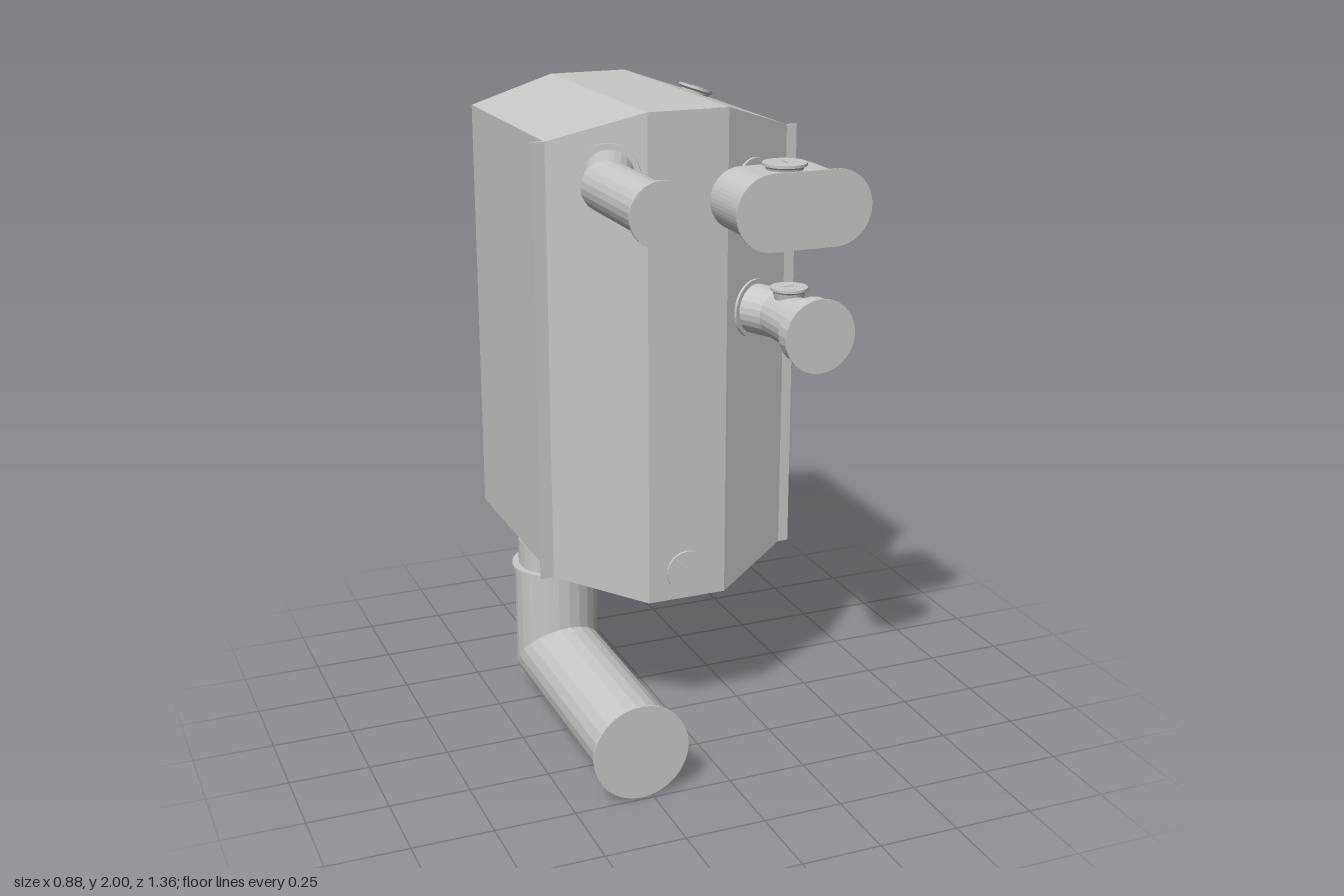
import * as THREE from 'three';

const V = (x, y, z) => new THREE.Vector3(x, y, z);
const SIDES = 24;

export function createModel() {
  const model = new THREE.Group();
  model.name = 'boilerCasing';
  const steel = new THREE.MeshStandardMaterial({ color: 0xc8c8c6, flatShading: true, side: THREE.DoubleSide });
  steel.name = 'grey steel';

  const add = (geometry, name, parent = model) => {
    const mesh = new THREE.Mesh(geometry, steel);
    mesh.name = name;
    parent.add(mesh);
    return mesh;
  };
  const fromTriangles = (points) => {
    const g = new THREE.BufferGeometry().setFromPoints(points);
    g.computeVertexNormals();
    return g;
  };
  const quad = (list, a, b, c, d) => list.push(a, b, c, a, c, d);

  // Tube with mitred joints; the last ring can be cut along a given plane
  function pipe(path, r, name, endNormal) {
    const dirs = path.slice(1).map((p, i) => p.clone().sub(path[i]).normalize());
    const d0 = dirs[0];
    const u = (Math.abs(d0.y) > 0.9 ? V(1, 0, 0) : V(0, 1, 0)).cross(d0).normalize();
    const v = d0.clone().cross(u);
    let ring = [];
    for (let i = 0; i < SIDES; i++) {
      const a = (i / SIDES) * Math.PI * 2;
      ring.push(path[0].clone().addScaledVector(u, r * Math.cos(a)).addScaledVector(v, r * Math.sin(a)));
    }
    const tris = [];
    ring.forEach((p, i) => tris.push(path[0], ring[(i + 1) % SIDES], p));
    dirs.forEach((d, k) => {
      const end = path[k + 1];
      const n = k < dirs.length - 1 ? d.clone().add(dirs[k + 1]) : (endNormal || d);
      const next = ring.map((p) => p.clone().addScaledVector(d, end.clone().sub(p).dot(n) / d.dot(n)));
      for (let i = 0; i < SIDES; i++) {
        const j = (i + 1) % SIDES;
        quad(tris, ring[i], ring[j], next[j], next[i]);
      }
      ring = next;
    });
    const last = path[path.length - 1];
    ring.forEach((p, i) => tris.push(last, p, ring[(i + 1) % SIDES]));
    return add(fromTriangles(tris), name);
  }

  // Places an object so its +y axis points along a direction
  const aim = (obj, pos, dir) => {
    obj.position.copy(pos);
    obj.quaternion.setFromUnitVectors(V(0, 1, 0), dir.clone().normalize());
    return obj;
  };
  const disc = (pos, dir, r, name, h = 0.008) =>
    aim(add(new THREE.CylinderGeometry(r, r, h, 32), name), pos, dir);

  // Small screw cap with a raised slot
  function cap(pos, dir, r, name, turn = 0) {
    const group = new THREE.Group();
    group.name = name;
    const profile = [[r * 0.75, -0.02], [r * 0.85, 0.006], [r, 0.012], [r, 0.02], [0, 0.02]];
    add(new THREE.LatheGeometry(profile.map((p) => new THREE.Vector2(...p)), 24), 'capBody', group);
    const slot = add(new THREE.BoxGeometry(0.03, 0.004, 0.005), 'capSlot', group);
    slot.position.y = 0.021;
    slot.rotation.y = turn;
    model.add(aim(group, pos, dir));
  }

  // Stations across the casing: x, front z, bottom y, top y
  const stations = [
    [-0.4, 0.045, 0.56, 1.915], [-0.13, 0.165, 0.475, 2],
    [0.125, 0.165, 0.475, 2], [0.37, 0.045, 0.56, 1.915],
  ];
  const thick = 0.01;

  // Open-backed shell
  const rim = [
    ...stations.map(([x, z, , top]) => V(x, top, z - thick)),
    ...stations.slice().reverse().map(([x, z, bottom]) => V(x, bottom, z - thick)),
  ];
  const shell = [];
  rim.forEach((p, i) => {
    const q = rim[(i + 1) % rim.length];
    quad(shell, p, q, V(q.x, q.y, -0.68), V(p.x, p.y, -0.68));
  });
  add(fromTriangles(shell), 'casingShell');

  // Folded front plate with side flanges
  const plate = [[-0.44, 0.045, 0.56, 1.915], ...stations, [0.403, 0.045, 0.56, 1.915]];
  const sections = plate.map(([x, z, b, t]) => [V(x, b, z), V(x, t, z), V(x, t, z - thick), V(x, b, z - thick)]);
  const plateTris = [];
  for (let i = 0; i < sections.length - 1; i++) {
    const a = sections[i], b = sections[i + 1];
    for (let k = 0; k < 4; k++) {
      const m = (k + 1) % 4;
      quad(plateTris, a[k], b[k], b[m], a[m]);
    }
  }
  const endL = sections[0], endR = sections[sections.length - 1];
  quad(plateTris, endL[0], endL[1], endL[2], endL[3]);
  quad(plateTris, endR[3], endR[2], endR[1], endR[0]);
  add(fromTriangles(plateTris), 'frontPlate');

  const rightNormal = V(-0.12, 0, 0.27).normalize();
  const leftNormal = V(0.12, 0, 0.245).normalize();

  // Lower elbow pipe, with its neck cut to the sloping floor
  pipe([V(-0.285, 0.47, -0.275), V(-0.285, 0.153, -0.275), V(-0.285, 0.153, 0.487)], 0.134, 'lowerElbow');
  pipe([V(-0.285, 0.46, -0.275), V(-0.285, 0.523, -0.275)], 0.121, 'lowerNeck', V(0.085, 0.27, 0));
  disc(V(-0.285, 0.471, -0.275), V(0, 1, 0), 0.143, 'lowerNeckFlange');
  disc(V(-0.285, 0.153, 0.486), V(0, 0, 1), 0.152, 'lowerEndFlange');

  // Upper bent pipe
  pipe([V(-0.232, 1.82, 0.121), V(-0.295, 1.82, 0.275), V(-0.295, 1.82, 0.675)], 0.075, 'upperPipe');
  disc(V(-0.235, 1.82, 0.125), rightNormal, 0.093, 'upperPipeFlange');
  disc(V(-0.295, 1.82, 0.676), V(0, 0, 1), 0.092, 'upperPipeEnd');

  // Oval box on a short stub
  const stadium = (half, r, depth, z, name) => {
    const s = new THREE.Shape();
    s.absarc(half, 0, r, -Math.PI / 2, Math.PI / 2, false);
    s.absarc(-half, 0, r, Math.PI / 2, Math.PI * 1.5, false);
    s.closePath();
    const g = new THREE.ExtrudeGeometry(s, { depth, bevelEnabled: false, curveSegments: 12 });
    add(g, name).position.set(0.225, 1.748, z);
  };
  stadium(0.1, 0.094, 0.22, 0.245, 'ovalBox');
  stadium(0.1, 0.112, 0.006, 0.465, 'ovalFacePlate');
  pipe([V(0.225, 1.748, 0.25), V(0.225, 1.748, 0.116)], 0.069, 'ovalStub', leftNormal);
  disc(V(0.23, 1.748, 0.118), leftNormal, 0.09, 'ovalStubFlange');
  cap(V(0.225, 1.842, 0.332), V(0, 1, 0), 0.066, 'ovalBoxCap', Math.PI / 2);

  // Bell-ended side pipe
  pipe([V(0.236, 1.375, 0.11), V(0.282, 1.375, 0.205), V(0.282, 1.375, 0.4)], 0.076, 'bellPipe');
  disc(V(0.238, 1.375, 0.114), leftNormal, 0.09, 'bellPipeFlange');
  const bell = [[0.076, 0], [0.103, 0.035], [0.103, 0.098], [0.112, 0.098], [0.112, 0.104], [0, 0.104]];
  aim(add(new THREE.LatheGeometry(bell.map((p) => new THREE.Vector2(...p)), SIDES), 'bellEnd'),
    V(0.282, 1.375, 0.371), V(0, 0, 1));
  cap(V(0.282, 1.453, 0.262), V(0, 1, 0), 0.057, 'bellPipeCap');

  // Caps on the front plate and roof
  cap(V(-0.01, 0.572, 0.167), V(0, 0, 1), 0.067, 'frontCap', Math.PI / 2);
  cap(V(0.29, 1.943, -0.477), V(0.085, 0.245, 0), 0.057, 'roofCap');

  return model;
}
